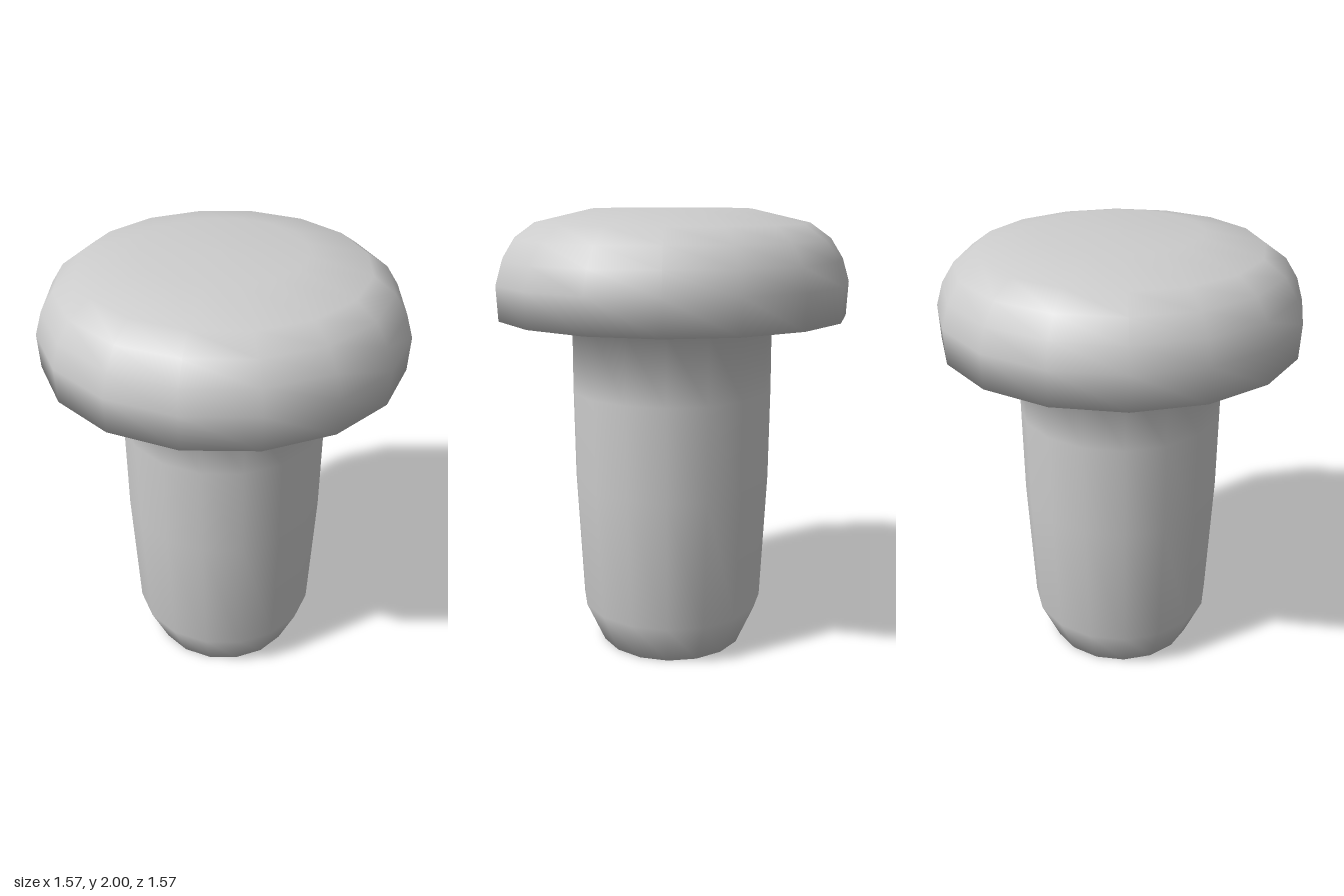
import * as THREE from 'three';

const SIDES = 16;

export function createModel() {
  const group = new THREE.Group();
  group.name = 'roundHeadedPin';
  const grey = new THREE.MeshStandardMaterial({ color: 0xcccccc });
  grey.name = 'plain grey';

  // One continuous smooth skin, turned from bottom centre to top centre
  const profile = [
    // chamfered tip and slightly tapered shaft
    [0, 0], [0.335, 0], [0.42, 0.19], [0.448, 0.78], [0.452, 1.2], [0.45, 1.505],
    // flared underside and rim of the head
    [0.778, 1.535], [0.785, 1.685],
    // domed shoulder and flat crown
    [0.755, 1.785], [0.7, 1.872], [0.608, 1.938], [0.35, 1.998], [0, 2],
  ].map(([r, y]) => new THREE.Vector2(r, y));

  const pin = new THREE.Mesh(new THREE.LatheGeometry(profile, SIDES), grey);
  pin.name = 'shaftAndHead';
  group.add(pin);
  return group;
}
